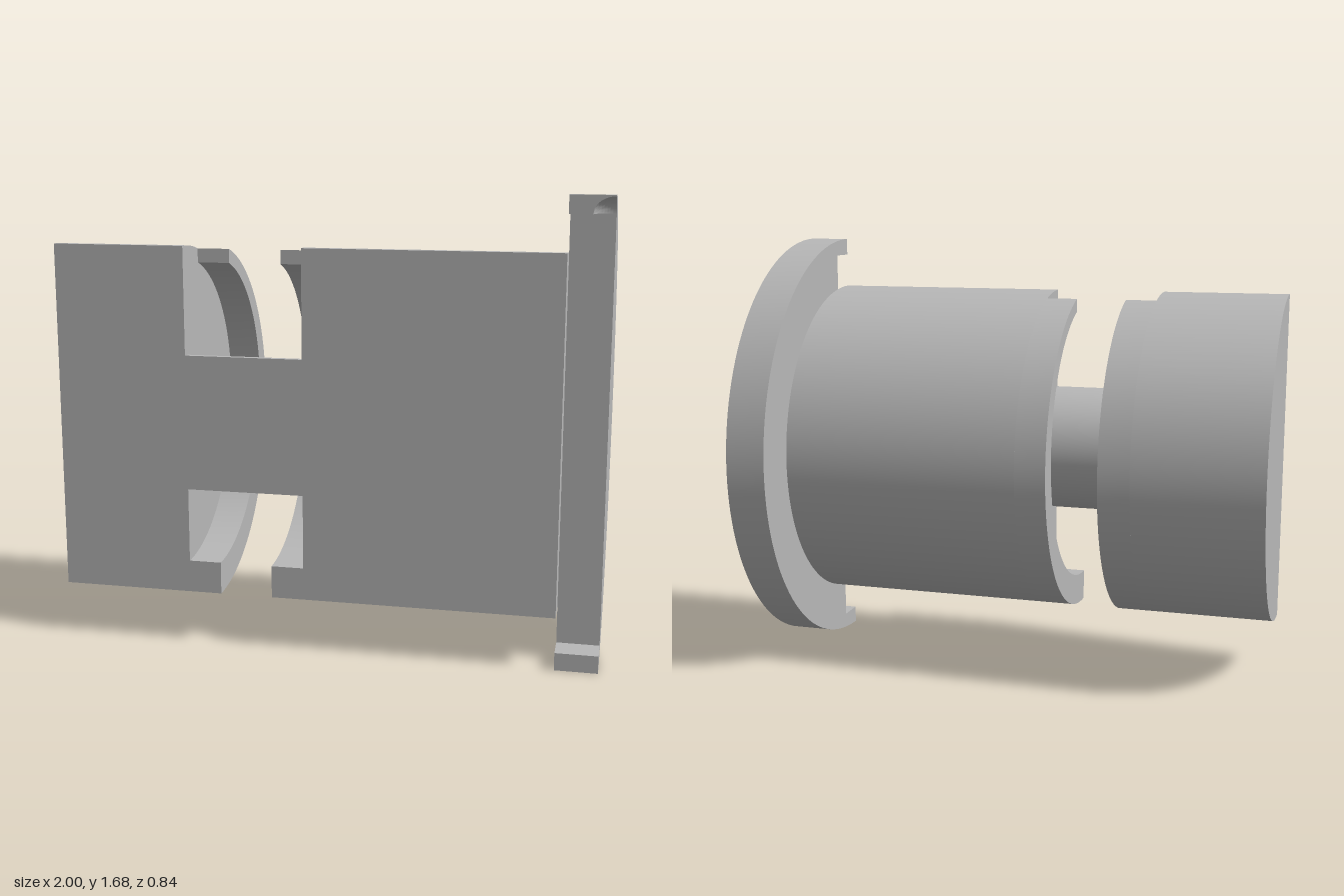
import * as THREE from 'three';
import { toCreasedNormals } from 'three/addons/utils/BufferGeometryUtils.js';

const FRONT = 0.42;  // z of the flat cut face
const AXIS = 0.84;   // height of the cylinder axis
const HALF = Math.PI / 2;

// Points on an arc; first coordinate is depth behind the cut face, second is height
function arc(cy, r, a0, a1, n = 64) {
  const pts = [];
  for (let i = 0; i <= n; i++) {
    const a = a0 + (a1 - a0) * i / n;
    pts.push(new THREE.Vector2(r * Math.cos(a), cy + r * Math.sin(a)));
  }
  return pts;
}

const P = (u, y) => new THREE.Vector2(u, y);

export function createModel() {
  const group = new THREE.Group();
  const grey = new THREE.MeshStandardMaterial({ color: 0xb8b8b8 });
  grey.name = 'grey';

  // Extrudes a depth/height profile along x; reshape may move its vertices first
  function slab(name, pts, x0, x1, steps = 1, reshape = null) {
    let geo = new THREE.ExtrudeGeometry(new THREE.Shape(pts), { depth: x1 - x0, steps, bevelEnabled: false });
    if (reshape) reshape(geo.attributes.position);
    geo.rotateY(HALF);
    geo.translate(x0, 0, FRONT);
    geo = toCreasedNormals(geo, 0.5);
    const mesh = new THREE.Mesh(geo, grey);
    mesh.name = name;
    group.add(mesh);
  }

  // Solid half-cylinder body and the neck joining its two ends
  const R = 0.645;
  const halfDisc = r => arc(AXIS, r, -HALF, HALF);
  slab('bodyEnd', halfDisc(R), -1, -0.51);
  slab('bodyMain', halfDisc(R), -0.075, 0.845);
  slab('neck', halfDisc(0.25), -0.51, -0.075);

  // Hollow rims beside the groove: off-centre bore, open at the upper front
  const bore = 0.561, cut = 0.17;
  const rim = [
    ...arc(AXIS, R, -HALF, Math.acos(cut / R)),
    ...arc(0.876, bore, Math.acos(cut / bore), -HALF),
  ];
  slab('rimOuter', rim, -0.51, -0.39);
  slab('rimInner', rim, -0.195, -0.075);

  // Flange with recessed front and a lip at the bottom
  const F = 0.84, recess = 0.105, lipY = 1.615;
  const lipAngle = Math.acos(recess / F);
  slab('flange', [...arc(AXIS, F, -HALF, lipAngle), P(recess, 0.065), P(0, 0.065)], 0.845, 1);

  // Upper lip, its outer corner hollowed by a rounded pocket
  const lipArc = arc(AXIS, F, lipAngle, HALF, 8);
  const px = 0.075;
  slab('upperLip', [P(0, lipY), P(recess, lipY), ...lipArc], 0.845, 1 - px);
  const pocket = [];
  for (let i = 0; i <= 12; i++) {
    const a = HALF * (1 - i / 12);
    pocket.push(P(0.075 * Math.cos(a), lipY + 0.06 * Math.sin(a)));
  }
  slab('pocketLip', [...pocket, P(recess, lipY), ...lipArc], 1 - px, 1, 16, pos => {
    for (let i = 0; i < pos.count; i++) {
      const u = pos.getX(i), v = pos.getY(i) - lipY;
      if (Math.hypot(u / 0.075, v / 0.06) > 1.001) continue;
      const t = 1 - pos.getZ(i) / px;
      const s = Math.sqrt(Math.max(0, 1 - t * t));
      pos.setXY(i, u * s, lipY + v * s);
    }
  });

  return group;
}
